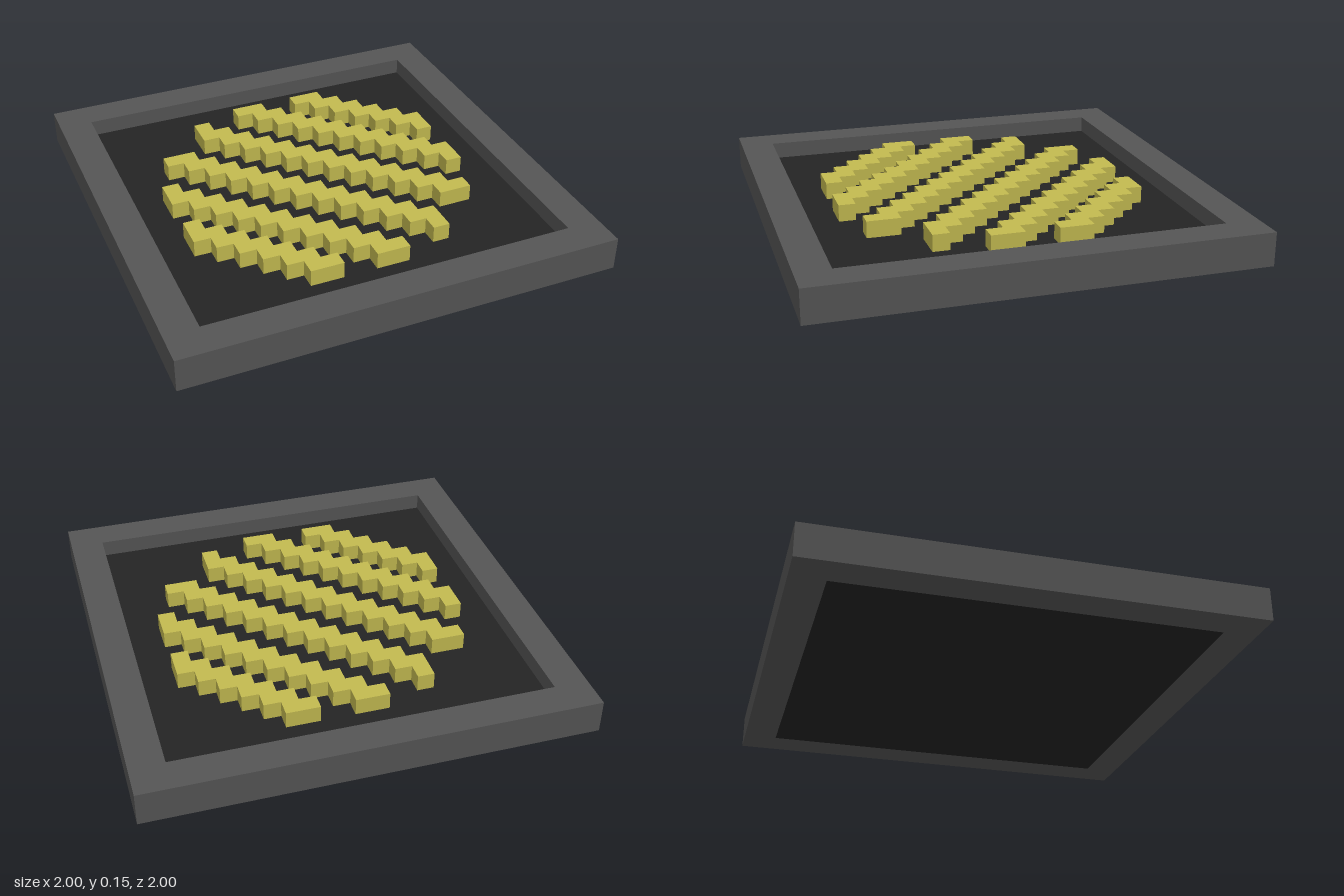
import * as THREE from 'three';
import { mergeGeometries } from 'three/addons/utils/BufferGeometryUtils.js';

const CELL = 2 / 26;          // grid unit
const N = 18;                 // cells across the grille
const INNER = 1 - 2 * CELL;   // half width of the opening

const material = (name, color) => {
  const m = new THREE.MeshStandardMaterial({ color });
  m.name = name;
  return m;
};

function square(PathType, h) {
  const p = new PathType();
  p.moveTo(-h, -h);
  p.lineTo(h, -h);
  p.lineTo(h, h);
  p.lineTo(-h, h);
  p.closePath();
  return p;
}

// Stepped diagonal: two cells per row, shifted one cell each row, clipped to a disc
function stripeGeometry(offset) {
  const inDisc = (i, j) => (i - 8.5) ** 2 + (j - 8.5) ** 2 < 85;
  const bars = [];
  for (let j = 0; j < N; j++) {
    const cells = [j + offset, j + offset + 1].filter((i) => i >= 0 && i < N && inDisc(i, j));
    if (!cells.length) continue;
    const bar = new THREE.BoxGeometry(cells.length * CELL, CELL, CELL);
    const x = (cells[0] + cells.length / 2 - N / 2) * CELL;
    bars.push(bar.translate(x, 1.5 * CELL, (j + 0.5 - N / 2) * CELL));
  }
  return mergeGeometries(bars);
}

export function createModel() {
  const model = new THREE.Group();
  const frameGrey = material('frame grey', 0x555555);
  const panelBlack = material('panel black', 0x242424);
  const stripeYellow = material('stripe yellow', 0xc3ba50);

  const add = (name, geometry, mat) => {
    const mesh = new THREE.Mesh(geometry, mat);
    mesh.name = name;
    model.add(mesh);
  };

  // Square frame around the opening
  const outline = square(THREE.Shape, 1);
  outline.holes.push(square(THREE.Path, INNER));
  const frame = new THREE.ExtrudeGeometry(outline, { depth: 2 * CELL, bevelEnabled: false });
  add('frame', frame.rotateX(-Math.PI / 2), frameGrey);

  // Sunken panel, level with the frame's underside
  const panel = new THREE.BoxGeometry(2 * INNER, CELL, 2 * INNER);
  add('panel', panel.translate(0, CELL / 2, 0), panelBlack);

  // Raised diagonal stripes, level with the top of the frame
  [11, 7, 2, -3, -8, -12].forEach((offset, k) => {
    add(`stripe${k + 1}`, stripeGeometry(offset), stripeYellow);
  });

  return model;
}
